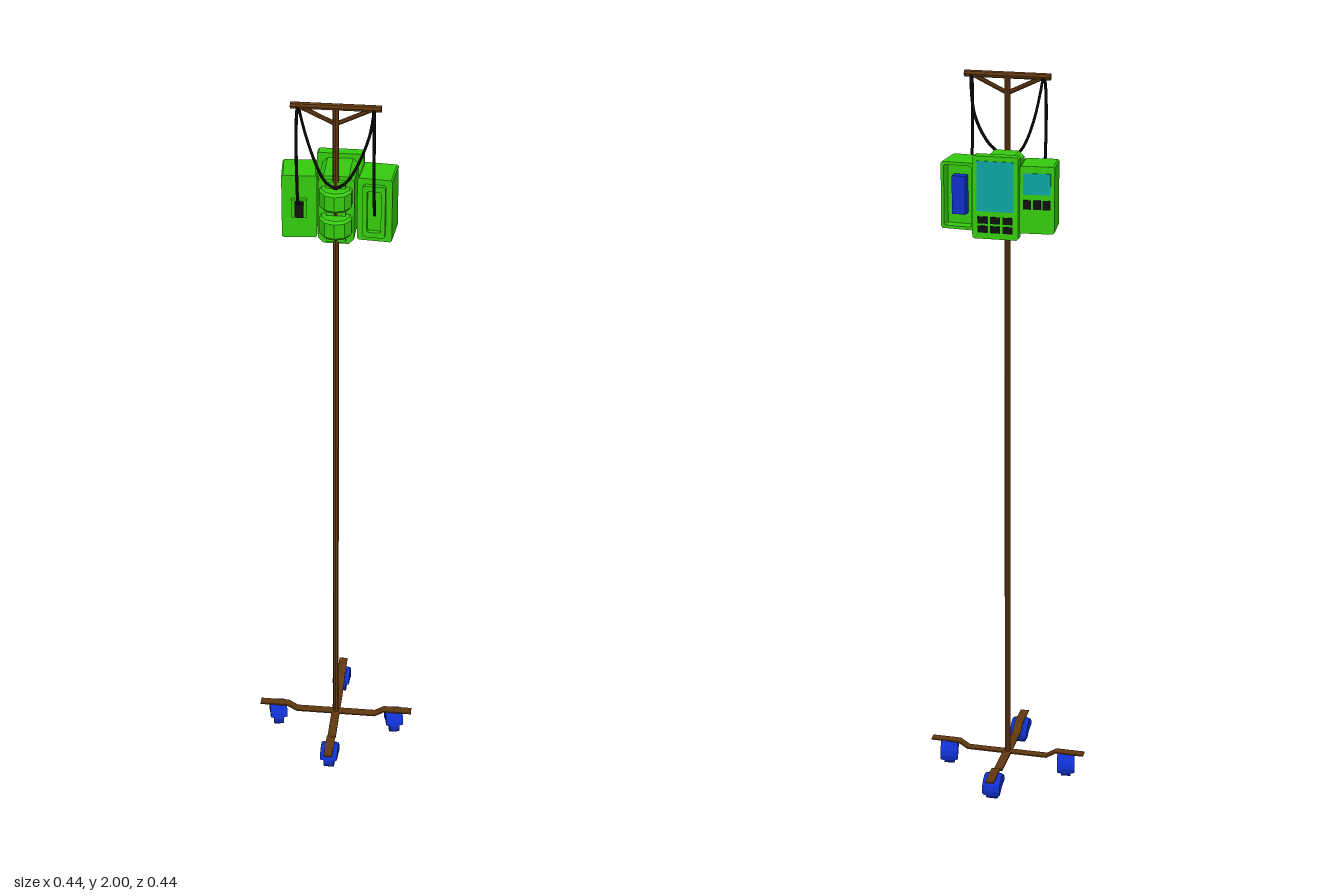
import * as THREE from 'three';

const mat = (color) => new THREE.MeshStandardMaterial({ color, flatShading: true });
const green = mat(0x35cc0e), brown = mat(0x613810), blue = mat(0x1030cc);
const teal = mat(0x0fa5a5), black = mat(0x101010);

export function createModel() {
  const model = new THREE.Group();
  model.name = 'infusionStand';

  const add = (parent, name, geo, material, x = 0, y = 0, z = 0) => {
    const mesh = new THREE.Mesh(geo, material);
    mesh.name = name;
    mesh.position.set(x, y, z);
    parent.add(mesh);
    return mesh;
  };
  const box = (parent, name, m, w, h, d, x, y, z) =>
    add(parent, name, new THREE.BoxGeometry(w, h, d), m, x, y, z);

  // Rectangle outline with cut corners
  const outline = (T, w, h, c) => {
    const a = w / 2, b = h / 2, s = new T();
    s.moveTo(a - c, -b);
    [[a, -b + c], [a, b - c], [a - c, b], [-a + c, b], [-a, b - c], [-a, -b + c], [-a + c, -b], [a - c, -b]]
      .forEach(([x, y]) => s.lineTo(x, y));
    return s;
  };
  // Prism along z, centred, optionally a frame with the given opening
  const prism = (w, h, d, c, opening) => {
    const shape = outline(THREE.Shape, w, h, c);
    if (opening) shape.holes.push(outline(THREE.Path, opening[0], opening[1], 0.003));
    return new THREE.ExtrudeGeometry(shape, { depth: d, bevelEnabled: false }).translate(0, 0, -d / 2);
  };
  // Round bar between two points
  const bar = (parent, name, a, b, r) => {
    const dir = b.clone().sub(a);
    const mesh = add(parent, name, new THREE.CylinderGeometry(r, r, dir.length(), 8), brown);
    mesh.position.copy(a).addScaledVector(dir, 0.5);
    mesh.quaternion.setFromUnitVectors(new THREE.Vector3(0, 1, 0), dir.normalize());
  };
  const V = (x, y, z) => new THREE.Vector3(x, y, z);

  // Pole with crossbar and braces
  bar(model, 'pole', V(0, 0.052, 0), V(0, 1.99, 0), 0.008);
  bar(model, 'crossbar', V(-0.113, 1.991, 0), V(0.113, 1.991, 0), 0.009);
  for (const s of [-1, 1]) bar(model, 'brace', V(0, 1.945, 0), V(s * 0.09, 1.988, 0), 0.006);

  // Four flat stepped legs
  const legShape = new THREE.Shape([
    [0, 0.052], [0.115, 0.052], [0.142, 0.069], [0.221, 0.069],
    [0.221, 0.073], [0.14, 0.073], [0.113, 0.056], [0, 0.056],
  ].map(([x, y]) => new THREE.Vector2(x, y)));
  for (let i = 0; i < 4; i++) {
    const geo = new THREE.ExtrudeGeometry(legShape, { depth: 0.024, bevelEnabled: false });
    add(model, 'leg', geo.translate(0, 0, -0.012), brown).rotation.y = (i * Math.PI) / 2;
  }

  // Casters: narrow wheel under a wider hood
  const wheelGeo = new THREE.CylinderGeometry(0.036, 0.036, 0.028, 14).rotateZ(Math.PI / 2);
  const hoodGeo = new THREE.LatheGeometry(
    [[0, -0.022], [0.033, -0.022], [0.036, -0.013], [0.036, 0.013], [0.033, 0.022], [0, 0.022]]
      .map(([r, y]) => new THREE.Vector2(r, y)), 8, 0, Math.PI * 1.1).rotateZ(Math.PI / 2).rotateX(-0.15);
  const hoodBlue = blue.clone();
  hoodBlue.side = THREE.DoubleSide;
  for (const [x, z, turn] of [[0.17, 0, 0.2], [-0.17, 0, 0.2], [0, 0.17, 0], [0, -0.17, 0]]) {
    const caster = new THREE.Group();
    caster.name = 'caster';
    caster.position.set(x, 0.036, z);
    caster.rotation.y = turn;
    add(caster, 'wheel', wheelGeo, blue);
    const hood = add(caster, 'casterHood', hoodGeo, hoodBlue);
    // turn the half shell so that it opens downwards
    hoodGeo.computeBoundingBox();
    const b = hoodGeo.boundingBox;
    if (b.max.y + b.min.y < -0.01) hood.rotation.x = Math.PI;
    else if (b.max.z + b.min.z > 0.02) hood.rotation.x = -Math.PI / 2;
    else if (b.max.z + b.min.z < -0.02) hood.rotation.x = Math.PI / 2;
    hood.scale.x = 1.12;
    model.add(caster);
  }

  // Central unit, its display facing backwards
  const centre = new THREE.Group();
  centre.name = 'centralUnit';
  centre.position.y = 1.703;
  model.add(centre);
  add(centre, 'centralBody', prism(0.092, 0.19, 0.108, 0.014), green, 0, 0, -0.06);
  add(centre, 'displayHousing', prism(0.12, 0.215, 0.028, 0.004), green, 0, 0, -0.124);
  box(centre, 'mainScreen', teal, 0.096, 0.13, 0.004, 0, 0.03, -0.138);
  for (const x of [-0.033, 0, 0.033]) {
    for (const y of [-0.058, -0.082]) box(centre, 'button', black, 0.026, 0.018, 0.005, x, y, -0.138);
  }
  // Two faceted clamps around the pole
  const clampProfile = [[0, -0.027], [0.037, -0.027], [0.043, -0.02], [0.043, 0.02], [0.037, 0.027], [0, 0.027]]
    .map(([r, y]) => new THREE.Vector2(r, y));
  for (const y of [0.04, -0.037]) add(centre, 'poleClamp', new THREE.LatheGeometry(clampProfile, 10), green, 0, y, 0);
  box(centre, 'clampBridge', green, 0.05, 0.17, 0.02, 0, 0, -0.004);

  // Side pumps, turned slightly outwards
  for (const s of [-1, 1]) {
    const pump = new THREE.Group();
    pump.name = s > 0 ? 'leftPump' : 'rightPump';
    pump.position.set(s * 0.1, 1.698, -0.07);
    pump.rotation.y = -s * 0.085;
    model.add(pump);
    if (s > 0) {
      // open housing with a cartridge at the back, raised frame at the front
      add(pump, 'pumpBody', prism(0.09, 0.175, 0.06, 0.004), green, 0, 0, 0.016);
      add(pump, 'pumpRim', prism(0.09, 0.175, 0.032, 0.004, [0.074, 0.159]), green, 0, 0, -0.03);
      box(pump, 'cartridge', blue, 0.036, 0.1, 0.026, 0, 0, -0.026);
      add(pump, 'frontFrame', prism(0.058, 0.145, 0.014, 0.005, [0.036, 0.115]), green, 0, 0, 0.051);
    } else {
      add(pump, 'pumpBody', prism(0.09, 0.175, 0.092, 0.004), green);
      box(pump, 'pumpScreen', teal, 0.07, 0.055, 0.004, 0, 0.042, -0.046);
      for (const x of [-0.025, 0, 0.025]) box(pump, 'button', black, 0.02, 0.024, 0.005, x, -0.012, -0.046);
      box(pump, 'tubeSocket', green, 0.04, 0.05, 0.012, 0, 0, 0.051);
      box(pump, 'tubePlug', black, 0.022, 0.04, 0.012, 0, 0, 0.062);
    }
  }

  // Tubes hanging over the crossbar, from the pumps to the central clamp
  for (const s of [-1, 1]) {
    const path = new THREE.CatmullRomCurve3([
      V(s * 0.097, 1.69, -0.012), V(s * 0.097, 1.76, 0.008), V(s * 0.097, 1.9, 0.02),
      V(s * 0.096, 1.97, 0.012), V(s * 0.094, 1.995, 0), V(s * 0.091, 1.96, -0.018),
      V(s * 0.078, 1.89, -0.033), V(s * 0.05, 1.82, -0.014), V(s * 0.025, 1.787, 0.008), V(0, 1.773, 0.014),
    ]);
    add(model, 'tube', new THREE.TubeGeometry(path, 48, 0.004, 6), black);
  }

  return model;
}
